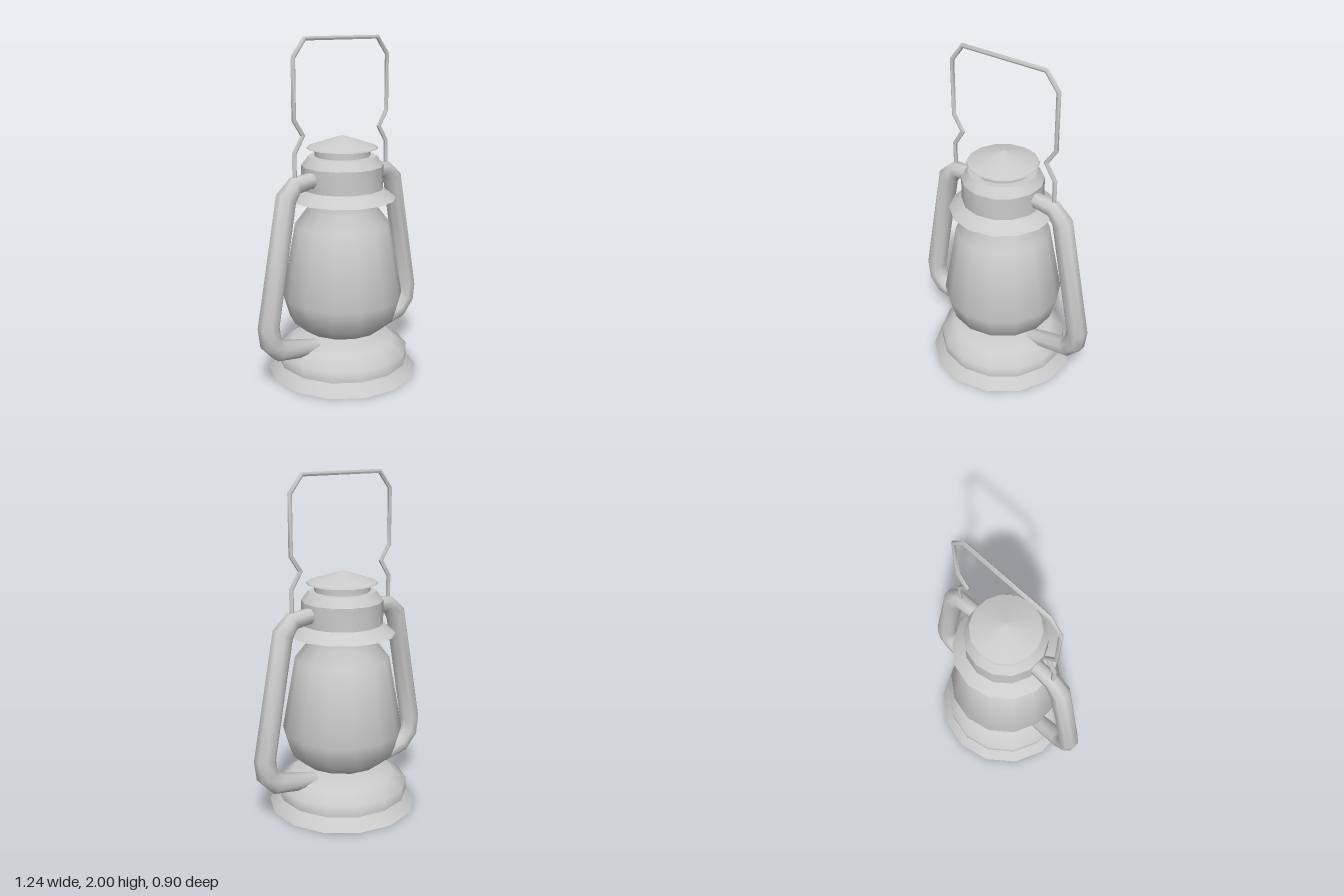
import * as THREE from 'three';
import { toCreasedNormals } from 'three/addons/utils/BufferGeometryUtils.js';

const SIDES = 14;
const material = new THREE.MeshStandardMaterial({ color: 0xcccccc });

// Turned part from [radius, height] points, listed bottom to top
function turned(name, profile, crease) {
  const points = profile.map(([r, y]) => new THREE.Vector2(r, y));
  const geometry = toCreasedNormals(new THREE.LatheGeometry(points, SIDES), crease);
  const mesh = new THREE.Mesh(geometry, material);
  mesh.name = name;
  return mesh;
}

// Mitred round rod along an [x, y, radius] polyline in the z = 0 plane
function rod(name, path, sides) {
  const positions = [], index = [];
  const last = path.length - 1;
  const normal = (a, b) => new THREE.Vector2(a[1] - b[1], b[0] - a[0]).normalize();
  path.forEach(([x, y, r], i) => {
    const before = normal(path[Math.max(i - 1, 0)], path[Math.max(i, 1)]);
    const after = normal(path[Math.min(i, last - 1)], path[Math.min(i + 1, last)]);
    const mitre = before.clone().add(after).divideScalar(1 + before.dot(after));
    for (let j = 0; j < sides; j++) {
      const angle = ((j + 0.5) / sides) * Math.PI * 2;
      const c = Math.cos(angle) * r;
      positions.push(x + mitre.x * c, y + mitre.y * c, Math.sin(angle) * r);
    }
  });
  for (let i = 0; i < last; i++) {
    for (let j = 0; j < sides; j++) {
      const k = (j + 1) % sides;
      const a = i * sides + j, b = i * sides + k;
      index.push(a, b, a + sides, b, b + sides, a + sides);
    }
  }
  // End caps
  const end = last * sides;
  for (let j = 1; j < sides - 1; j++) {
    index.push(0, j + 1, j, end, end + j, end + j + 1);
  }
  const geometry = new THREE.BufferGeometry();
  geometry.setAttribute('position', new THREE.Float32BufferAttribute(positions, 3));
  geometry.setIndex(index);
  const mesh = new THREE.Mesh(toCreasedNormals(geometry, 1.0), material);
  mesh.name = name;
  return mesh;
}

export function createModel() {
  const lantern = new THREE.Group();
  lantern.name = 'lantern';

  // Flared foot and domed fuel tank
  lantern.add(turned('foot', [[0, 0], [0.45, 0], [0.395, 0.07], [0.36, 0.07]], 0.5));
  lantern.add(turned('fuelTank',
    [[0.395, 0.07], [0.395, 0.138], [0.31, 0.192], [0.11, 0.232], [0, 0.232]], 1.1));

  // Burner neck and glass globe
  lantern.add(turned('burnerNeck', [[0.105, 0.22], [0.105, 0.29]], 0.5));
  lantern.add(turned('globe', [[0, 0.275], [0.245, 0.275], [0.32, 0.34], [0.36, 0.48],
    [0.28, 0.92], [0.21, 1.01], [0.21, 1.08]], 0.85));

  // Hood: sloping skirt, collar, chimney neck and conical cap
  lantern.add(turned('hoodSkirt', [[0.2, 1.07], [0.315, 1.07], [0.24, 1.13]], 0.5));
  lantern.add(turned('collar', [[0.24, 1.13], [0.24, 1.265], [0.2, 1.32], [0.15, 1.32]], 0.5));
  lantern.add(turned('chimneyNeck', [[0.163, 1.31], [0.163, 1.375]], 0.5));
  lantern.add(turned('cap', [[0, 1.365], [0.21, 1.365], [0.205, 1.373], [0, 1.44]], 0.5));

  // Side air tubes joining tank and collar
  const tubePath = [[0.2, 1.2, 0.046], [0.25, 1.203, 0.046], [0.355, 1.193, 0.05],
    [0.42, 1.125, 0.06], [0.56, 0.405, 0.063], [0.548, 0.315, 0.063],
    [0.485, 0.245, 0.06], [0.22, 0.185, 0.05]];
  for (const [side, s] of [['left', 1], ['right', -1]]) {
    lantern.add(rod(side + 'AirTube', tubePath.map(([x, y, r]) => [s * x, y, r]), 8));
  }

  // Bent wire bail handle
  const half = [[0.357, 1.2], [0.357, 1.37], [0.295, 1.465], [0.357, 1.555],
    [0.357, 1.89], [0.277, 1.988]];
  const bail = [...half, ...half.slice().reverse().map(([x, y]) => [-x, y])];
  lantern.add(rod('bailHandle', bail.map(([x, y]) => [x, y, 0.0125]), 6));

  return lantern;
}
